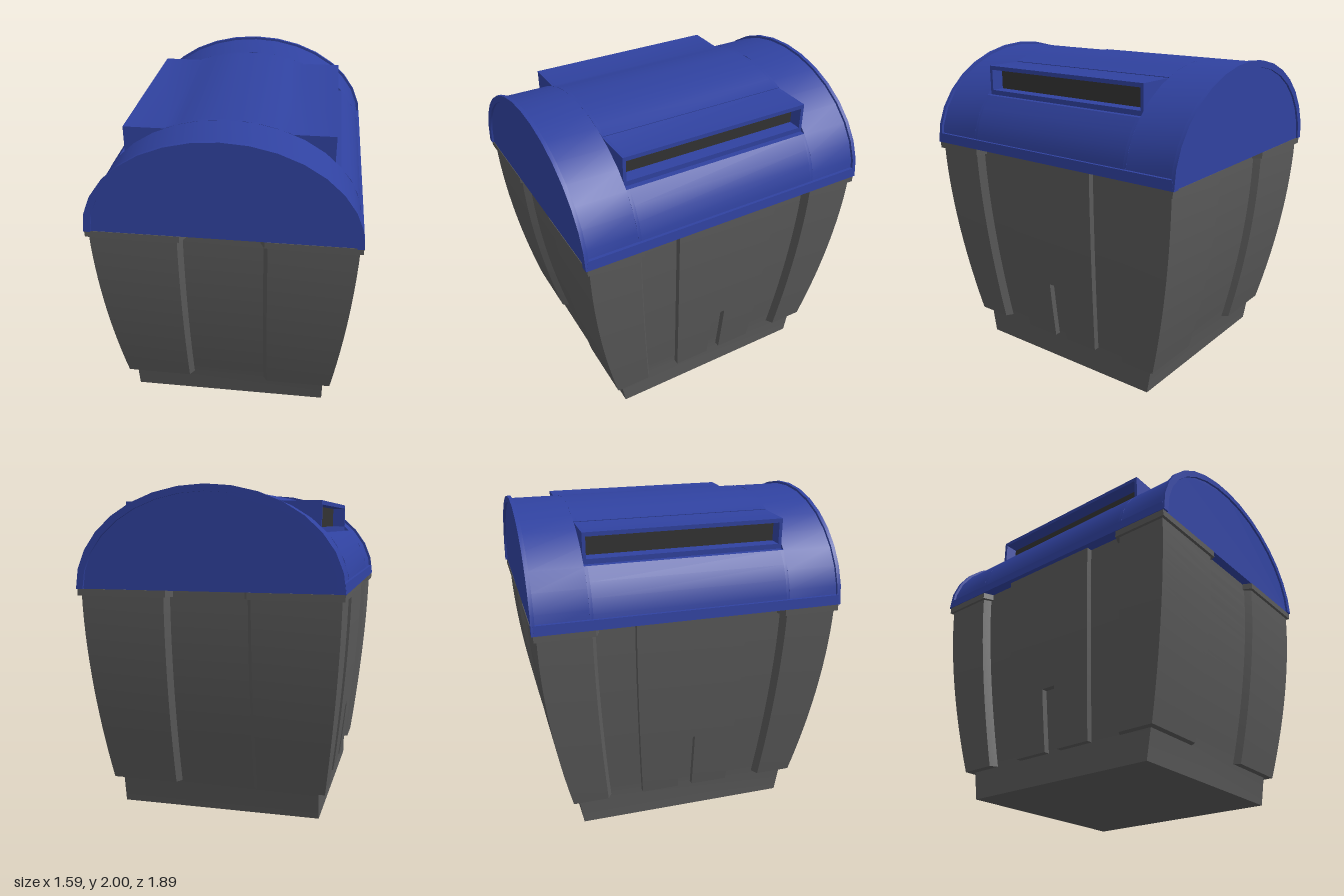
import * as THREE from 'three';
import { toCreasedNormals } from 'three/addons/utils/BufferGeometryUtils.js';

const grey = new THREE.MeshStandardMaterial({ color: 0x5a5a5a });
const blue = new THREE.MeshStandardMaterial({ color: 0x3042a0 });
const dark = new THREE.MeshStandardMaterial({ color: 0x333333 });

const PAD_Y = 0.18, SEAM = 1.4;

// Bulging half-width and half-depth of the tub at height y
const rise = (y, p) => 1 - Math.pow(1 - Math.min(1, Math.max(0, (y - PAD_Y) / (SEAM - PAD_Y))), p);
const halfX = y => 0.675 + 0.1 * rise(y, 1.6);
const halfZ = y => 0.74 + 0.175 * rise(y, 1.8);
const coreX = y => halfX(y) - 0.045;
const coreZ = y => halfZ(y) - 0.04 - 0.03 * Math.max(0, 1 - y / PAD_Y);

function levels(y0, y1, n) {
  return Array.from({ length: n + 1 }, (_, i) => y0 + (y1 - y0) * i / n);
}

// Solid through convex rings of [x, z] points, one ring per height
function loft(ys, section) {
  const rings = ys.map(y => {
    const ring = section(y);
    const area = ring.reduce((s, p, i) => {
      const q = ring[(i + 1) % ring.length];
      return s + p[0] * q[1] - q[0] * p[1];
    }, 0);
    if (area < 0) ring.reverse();
    return ring.map(([x, z]) => [x, y, z]);
  });
  const pos = [], n = rings[0].length;
  const tri = (a, b, c) => pos.push(...a, ...b, ...c);
  for (let k = 0; k < rings.length - 1; k++) {
    const a = rings[k], b = rings[k + 1];
    for (let i = 0; i < n; i++) {
      const j = (i + 1) % n;
      tri(a[i], b[j], a[j]);
      tri(a[i], b[i], b[j]);
    }
  }
  const low = rings[0], top = rings[rings.length - 1];
  for (let i = 1; i < n - 1; i++) {
    tri(low[0], low[i], low[i + 1]);
    tri(top[0], top[i + 1], top[i]);
  }
  const g = new THREE.BufferGeometry();
  g.setAttribute('position', new THREE.Float32BufferAttribute(pos, 3));
  return toCreasedNormals(g, 0.4);
}

// Profile in x/y extruded from z0 to z1
function slab(points, z0, z1) {
  const shape = new THREE.Shape(points.map(([x, y]) => new THREE.Vector2(x, y)));
  const g = new THREE.ExtrudeGeometry(shape, { depth: z1 - z0, bevelEnabled: false });
  g.translate(0, 0, z0);
  return toCreasedNormals(g, 0.4);
}

// Elliptical arch points above the seam
function arch(rx, ry, a0 = 0, a1 = Math.PI, n = 16) {
  return levels(a0, a1, n).map(a => [rx * Math.cos(a), SEAM + ry * Math.sin(a)]);
}

const mirrored = right => [...right, ...right.map(([x, y]) => [-x, y]).reverse()];

export function createModel() {
  const model = new THREE.Group();
  const add = (parent, name, geometry, material) => {
    const mesh = new THREE.Mesh(geometry, material);
    mesh.name = name;
    parent.add(mesh);
  };

  // Tub core with its straight foot
  const tub = new THREE.Group();
  tub.name = 'tub';
  model.add(tub);
  add(tub, 'tubCore', loft([0, ...levels(PAD_Y, SEAM, 14)], y => {
    const x = coreX(y), z = coreZ(y);
    return [[-x, -z], [x, -z], [x, z], [-x, z]];
  }), grey);

  // Raised corner pads with bevelled edges and a rim lip
  const corner = (sx, sz, d) => y => {
    const edge = 0.515 + 0.085 * rise(y, 1.6) - d;
    return [
      [0.2, 0.3], [coreX(y) - 0.005, edge - 0.03], [halfX(y) + d, edge],
      [halfX(y) + d, halfZ(y) + d], [0.26 - d, halfZ(y) + d], [0.23 - d, coreZ(y) - 0.005],
    ].map(([x, z]) => [x * sx, z * sz]);
  };
  for (const sx of [1, -1]) {
    for (const sz of [1, -1]) {
      add(tub, 'cornerPad', loft(levels(PAD_Y, 1.38, 14), corner(sx, sz, 0)), grey);
      add(tub, 'cornerRim', loft([1.36, SEAM], corner(sx, sz, 0.018)), grey);
    }
  }

  // Centre pads on the sides, with a notch at the bottom
  const NOTCH = 0.565;
  const padEdge = y => 0.285 + 0.055 * rise(y, 1.6);
  for (const sx of [1, -1]) {
    const strip = (z0, z1) => y => {
      const a = sx * 0.4, b = sx * (halfX(y) - 0.008);
      return [[a, z0(y)], [b, z0(y)], [b, z1(y)], [a, z1(y)]];
    };
    add(tub, 'sidePad', loft(levels(NOTCH, SEAM, 10), strip(y => -padEdge(y), padEdge)), grey);
    for (const sz of [1, -1]) {
      add(tub, 'sidePadLeg', loft(levels(PAD_Y, NOTCH, 5),
        strip(() => sz * 0.048, y => sz * padEdge(y))), grey);
    }
  }

  // Barrel lid, hood and posting slots
  const lid = new THREE.Group();
  lid.name = 'lid';
  model.add(lid);
  const RX = 0.78, RY = 0.585, HOOD = 0.61;
  const shoulder = arch(RX, RY, 0, Math.asin(0.33 / RY), 4);
  const hoodProfile = mirrored([...shoulder, [HOOD, 1.73], [HOOD, 1.915], [0.2, 1.915], ...arch(RX, RY, 1.35, Math.PI / 2, 2).slice(0, 2)]);
  const slotProfile = mirrored([...shoulder, [HOOD, 1.73], [HOOD, 1.76], [0.52, 1.76], [0.52, 1.89],
    [HOOD, 1.89], [HOOD, 1.915], [0.36, 1.915], ...arch(RX, RY, 1.09, Math.PI / 2, 4).slice(0, 4)]);
  add(lid, 'slottedHood', slab(slotProfile, -0.59, 0.59), blue);
  const hoodEnd = mirrored([...shoulder, [HOOD, 1.73], [HOOD, 1.915], [0.36, 1.915],
    ...arch(RX, RY, 1.09, Math.PI / 2, 4).slice(0, 4)]);
  const ring = [...arch(0.797, 0.6), ...arch(0.755, 0.56).reverse()];
  for (const s of [1, -1]) {
    const span = (a, b) => s > 0 ? [a, b] : [-b, -a];
    add(lid, 'hoodEnd', slab(hoodEnd, ...span(0.59, HOOD)), blue);
    add(lid, 'lidBarrel', slab(arch(RX, RY), ...span(HOOD, 0.93)), blue);
    add(lid, 'lidFlange', slab(ring, ...span(0.92, 0.943)), blue);

    // Skirt along the lower side edge of the lid
    const skirt = [[0.74, SEAM], [0.797, SEAM], [0.791, 1.46], [0.74, 1.46]].map(([x, y]) => [x * s, y]);
    add(lid, 'lidSkirt', slab(skirt, -0.93, 0.93), blue);

    // Dark back of the posting slot
    const back = new THREE.BoxGeometry(0.02, 0.13, 1.18);
    back.translate(s * 0.515, 1.825, 0);
    add(lid, 'slotOpening', back, dark);
  }
  return model;
}
